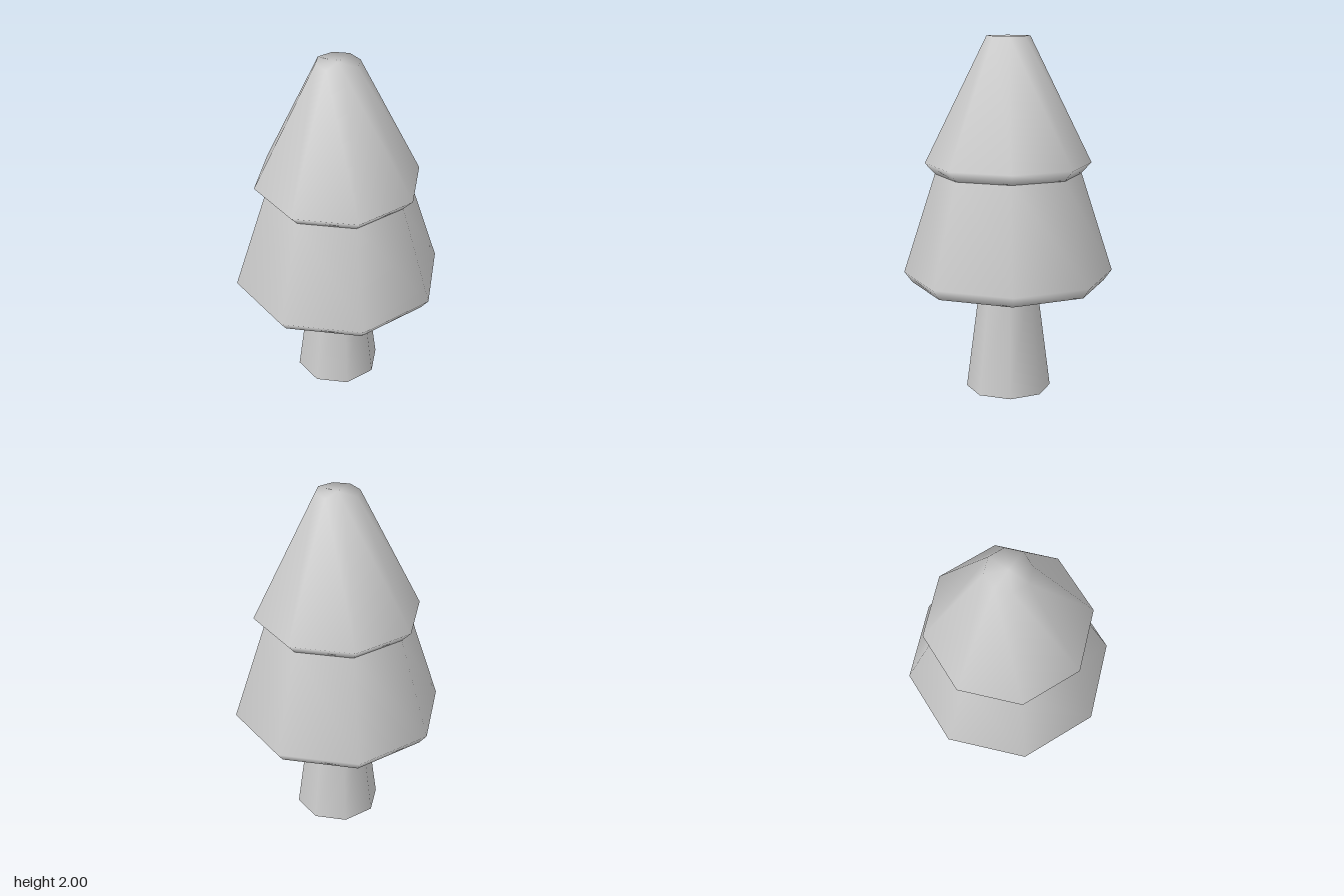
import * as THREE from 'three';

const SIDES = 8;

export function createModel() {
  const group = new THREE.Group();
  group.name = 'tree';
  const material = new THREE.MeshStandardMaterial({ color: 0xcccccc });

  const add = (name, geometry) => {
    const mesh = new THREE.Mesh(geometry, material);
    mesh.name = name;
    group.add(mesh);
    return mesh;
  };

  // Eight-sided tier with softly shaded edges, profile given bottom to top as [radius, y]
  const addTier = (name, profile) =>
    add(name, new THREE.LatheGeometry(profile.map(([r, y]) => new THREE.Vector2(r, y)), SIDES));

  // Tapered trunk
  const trunkHeight = 0.62;
  add('trunk', new THREE.CylinderGeometry(0.16, 0.24, trunkHeight, SIDES)).position.y = trunkHeight / 2;

  // Wide lower foliage, its open top hidden under the upper tier
  addTier('lowerFoliage', [[0, 0.62], [0.545, 0.62], [0.59, 0.68], [0.41, 1.24]]);

  // Upper foliage with a blunt tip
  addTier('upperFoliage', [[0, 1.24], [0.41, 1.24], [0.465, 1.3], [0.12, 2], [0, 2]]);

  return group;
}
